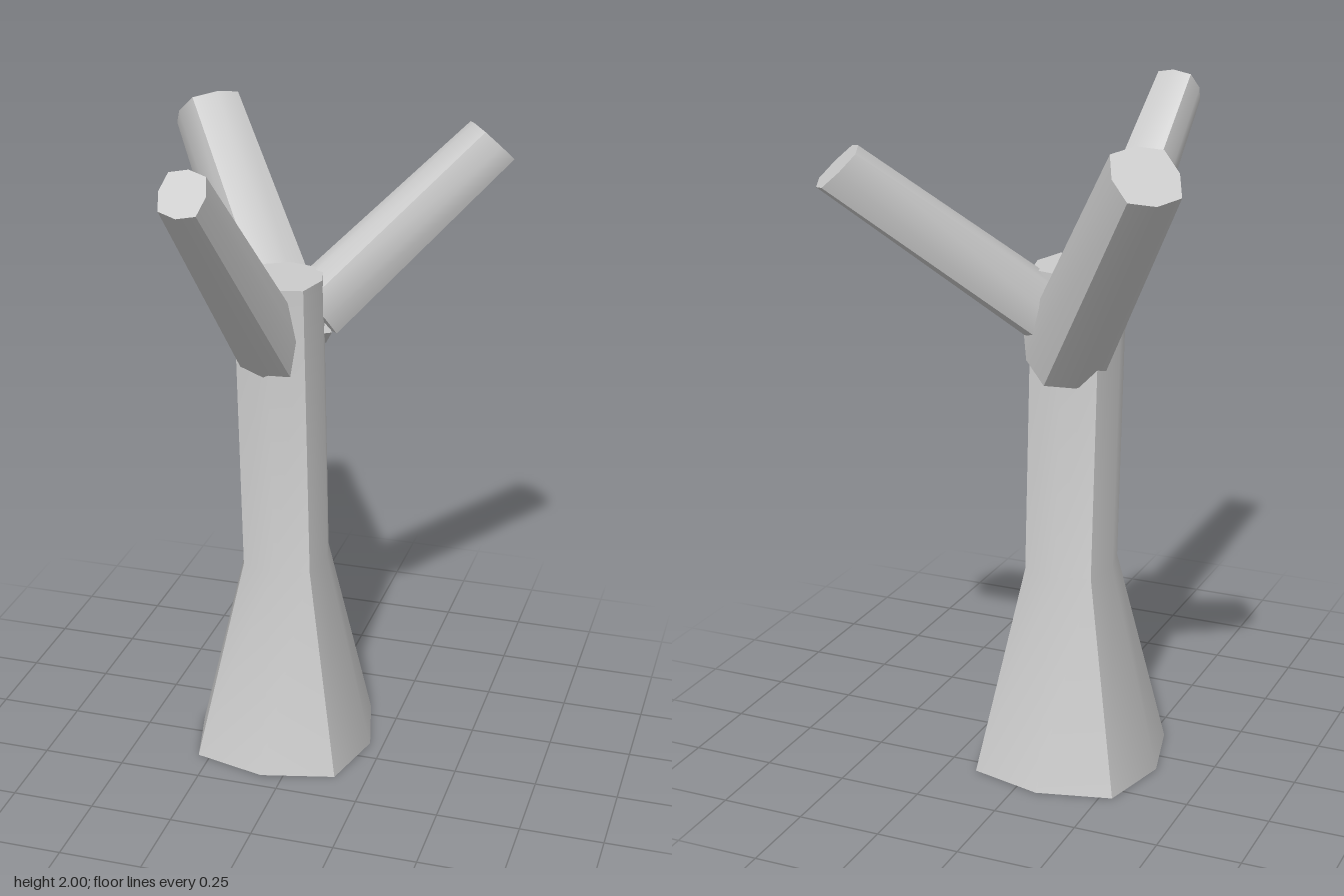
import * as THREE from 'three';
import { toCreasedNormals } from 'three/addons/utils/BufferGeometryUtils.js';

const V = (p) => new THREE.Vector3(...p);

// Softly bulging square ring (8 points) around a centre, facing along normal
function ring({ at, normal, r }, ref) {
  const n = V(normal).normalize();
  const s = V(ref).cross(n).normalize();
  const t = n.clone().cross(s);
  return Array.from({ length: 8 }, (_, i) => {
    const a = (i * Math.PI) / 4;
    const k = i % 2 ? r * 1.13 : r;
    return V(at).addScaledVector(s, Math.cos(a) * k).addScaledVector(t, Math.sin(a) * k);
  });
}

// Skin a chain of rings and close both ends
function loft(name, sections, ref) {
  const pos = [];
  const tri = (...pts) => pts.forEach((p) => pos.push(p.x, p.y, p.z));
  const rings = sections.map((s) => ring(s, ref));
  const last = rings.length - 1;
  const bottom = V(sections[0].at);
  const top = V(sections[last].at);
  for (let i = 0; i < 8; i++) {
    const j = (i + 1) % 8;
    for (let k = 0; k < last; k++) {
      const a = rings[k], b = rings[k + 1];
      tri(a[i], a[j], b[j]);
      tri(a[i], b[j], b[i]);
    }
    tri(bottom, rings[0][j], rings[0][i]);
    tri(top, rings[last][i], rings[last][j]);
  }
  const geo = new THREE.BufferGeometry();
  geo.setAttribute('position', new THREE.Float32BufferAttribute(pos, 3));
  const mesh = new THREE.Mesh(
    toCreasedNormals(geo, 0.7),
    new THREE.MeshStandardMaterial({ color: 0xcccccc })
  );
  mesh.name = name;
  return mesh;
}

// Straight tapering branch with its own cut angle at the tip
function branch(name, from, r0, to, r1, cut) {
  const dir = V(to).sub(V(from)).toArray();
  return loft(name, [
    { at: from, normal: dir, r: r0 },
    { at: to, normal: cut, r: r1 },
  ], [0, 1, 0]);
}

export function createModel() {
  const tree = new THREE.Group();
  tree.name = 'bareTree';

  // Trunk with flared foot and flat top
  const up = [0, 1, 0];
  tree.add(loft('trunk', [
    { at: [-0.067, 0, -0.082], normal: up, r: 0.275 },
    { at: [-0.065, 0.63, -0.08], normal: up, r: 0.13 },
    { at: [-0.08, 1.53, -0.058], normal: up, r: 0.13 },
  ], [0, 0, 1]));

  // Three cut branches
  tree.add(branch('frontBranch', [-0.08, 1.29, -0.04], 0.097, [-0.15, 1.945, 0.55], 0.068, [-0.1, 0.6, 0.8]));
  tree.add(branch('backRightBranch', [-0.06, 1.28, -0.13], 0.115, [-0.435, 1.895, -0.48], 0.095, [-0.65, 1, -0.65]));
  tree.add(branch('backLeftBranch', [0, 1.41, -0.135], 0.09, [0.44, 1.855, -0.505], 0.08, [0.8, 1, -0.5]));
  return tree;
}
